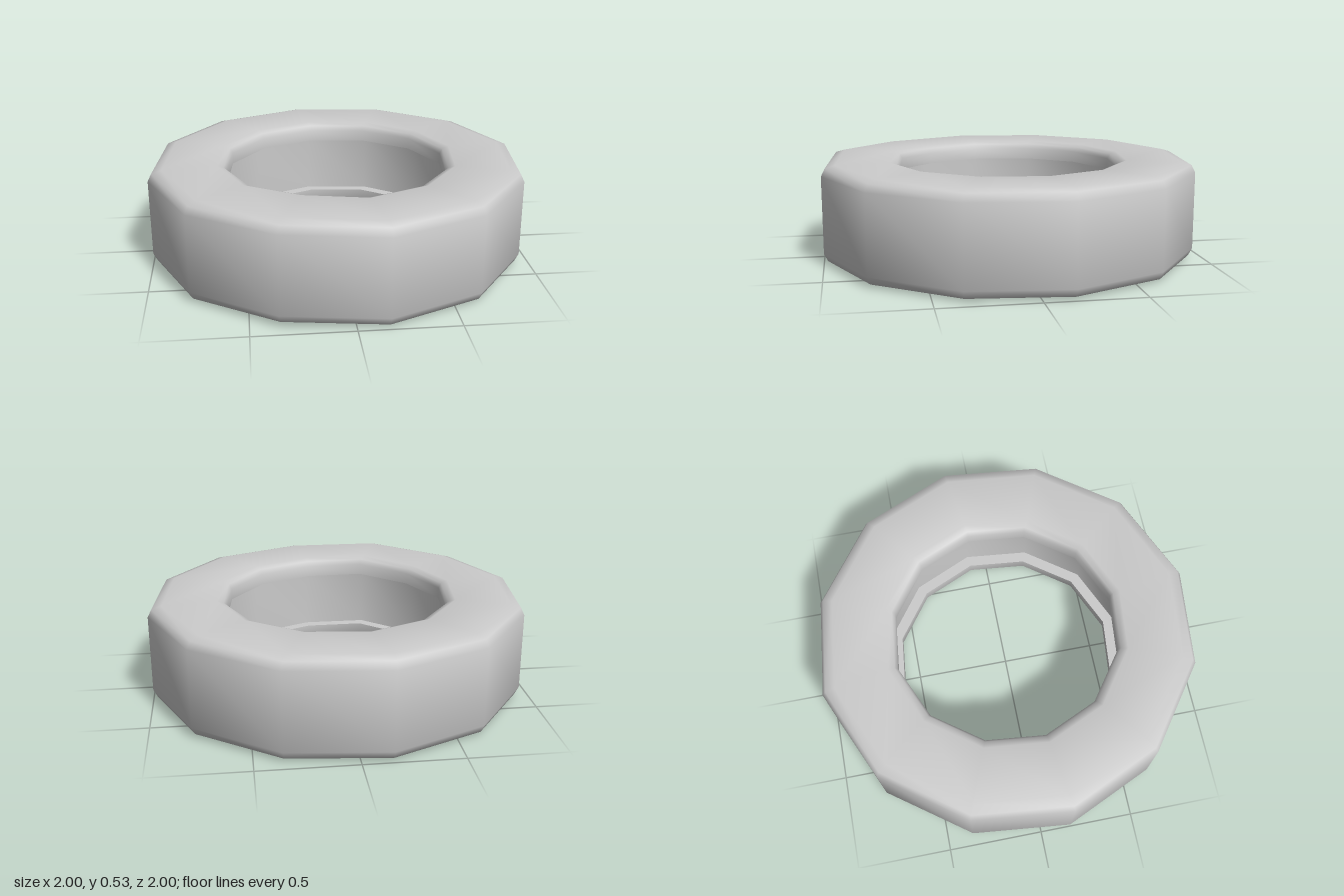
import * as THREE from 'three';
import { toCreasedNormals } from 'three/addons/utils/BufferGeometryUtils.js';

const SIDES = 12;
const HEIGHT = 0.52;

export function createModel() {
  const group = new THREE.Group();
  group.name = 'tyre';

  // Upper half of the cross-section [radius, y]: tread, shoulder, sidewall, bead lip, inner recess
  const upper = [
    [1.012, 0.465], [0.992, 0.505], [0.94, 0.52],
    [0.65, 0.52], [0.615, 0.507], [0.6, 0.48],
    [0.6, 0.42], [0.66, 0.42],
  ];
  // Lower half is the mirror image; the loop is closed at the tread
  const lower = upper.map(([r, y]) => [r, HEIGHT - y]).reverse();
  const profile = [...upper, ...lower, upper[0]].map(([r, y]) => new THREE.Vector2(r, y));

  const lathe = new THREE.LatheGeometry(profile, SIDES, THREE.MathUtils.degToRad(9));

  // One spoke of the ring sits slightly high
  const pos = lathe.attributes.position;
  const raised = THREE.MathUtils.degToRad(111);
  for (let i = 0; i < pos.count; i++) {
    const angle = Math.atan2(pos.getZ(i), pos.getX(i));
    if (Math.abs(angle - raised) < 0.1) pos.setY(i, pos.getY(i) + 0.013);
  }

  const tyre = new THREE.Mesh(
    toCreasedNormals(lathe, THREE.MathUtils.degToRad(62)),
    new THREE.MeshStandardMaterial({ color: 0xcccccc }),
  );
  tyre.name = 'tyreBody';
  group.add(tyre);
  return group;
}
